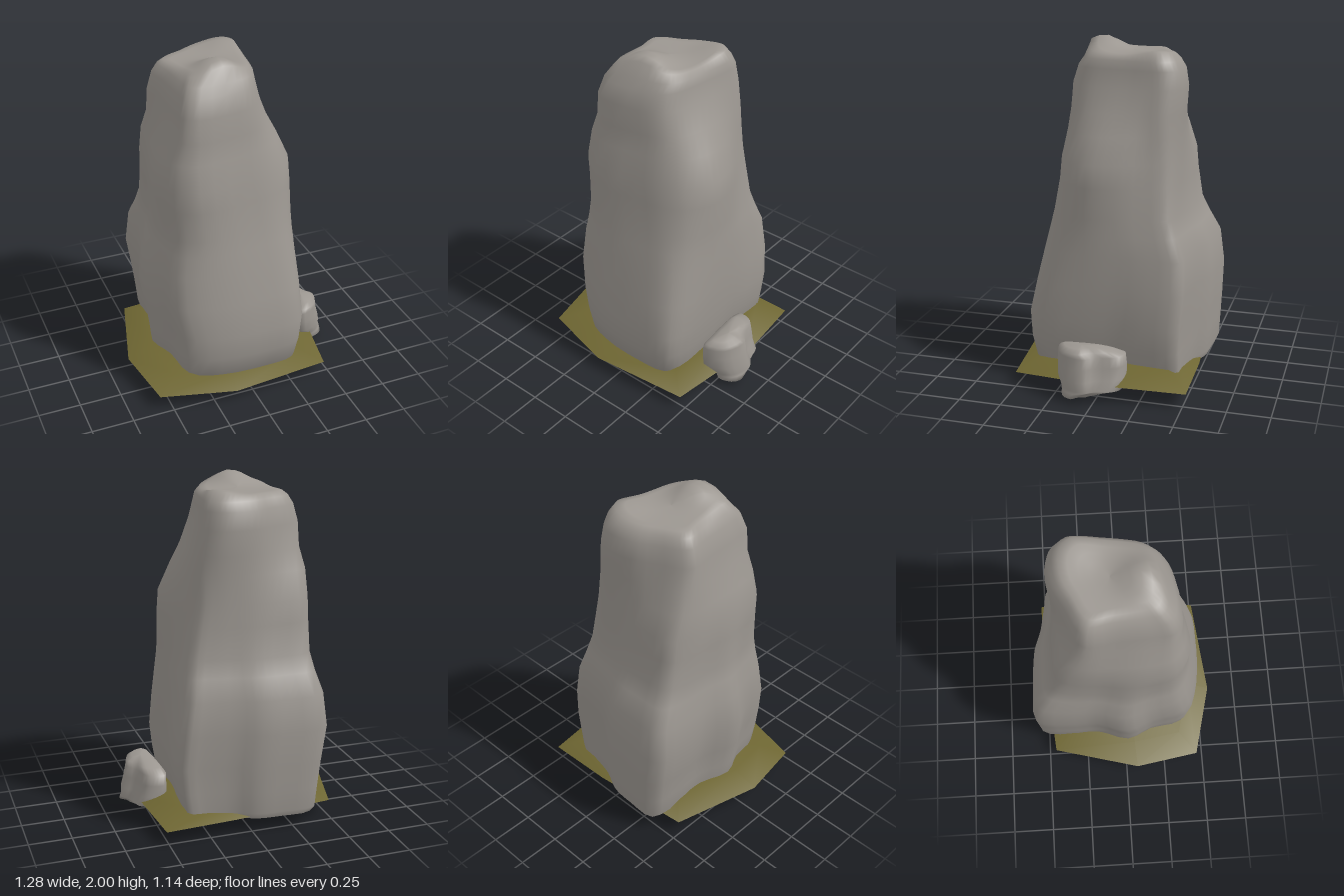
import * as THREE from 'three';

// Plan outlines as [x, z], counter-clockwise seen from above
const baseOutline = [
  [-0.4, 0.39], [-0.2, 0.47], [0.13, 0.49], [0.32, 0.465], [0.38, 0.37], [0.395, 0.15],
  [0.39, -0.08], [0.41, -0.25], [0.405, -0.445], [0.28, -0.465], [0.1, -0.5], [-0.03, -0.56],
  [-0.2, -0.575], [-0.42, -0.565], [-0.455, -0.38], [-0.455, -0.18], [-0.52, 0.02], [-0.45, 0.18],
];
const middleOutline = [
  [-0.395, 0.285], [-0.27, 0.37], [0, 0.335], [0.16, 0.305], [0.285, 0.24], [0.37, 0.1],
  [0.36, -0.06], [0.3, -0.22], [0.25, -0.345], [0.16, -0.385], [0.06, -0.4], [-0.06, -0.41],
  [-0.2, -0.405], [-0.355, -0.385], [-0.405, -0.28], [-0.42, -0.12], [-0.435, 0.02], [-0.43, 0.15],
];
const topOutline = [
  [-0.32, 0.19], [-0.25, 0.23], [-0.02, 0.21], [0.09, 0.17], [0.14, 0.1], [0.165, 0],
  [0.185, -0.13], [0.2, -0.23], [0.2, -0.32], [0.14, -0.39], [0.05, -0.41], [-0.08, -0.39],
  [-0.2, -0.33], [-0.33, -0.27], [-0.37, -0.22], [-0.35, -0.1], [-0.34, 0.03], [-0.33, 0.12],
];
const pebbleOutline = [
  [0.43, 0.245], [0.575, 0.2], [0.635, 0.06], [0.58, -0.01], [0.54, -0.12],
  [0.47, -0.155], [0.405, -0.145], [0.395, 0], [0.405, 0.12],
];

// Height, x range, z range and position along the list of outlines
const boulderLevels = [
  [0.085, -0.43, 0.35, -0.54, 0.41, 0],
  [0.12, -0.46, 0.375, -0.555, 0.46, 0],
  [0.25, -0.475, 0.395, -0.56, 0.485, 0],
  [0.4, -0.495, 0.41, -0.565, 0.49, 0.02],
  [0.6, -0.525, 0.395, -0.567, 0.455, 0.18],
  [0.8, -0.5, 0.39, -0.543, 0.42, 0.38],
  [0.92, -0.465, 0.385, -0.48, 0.4, 0.53],
  [1.02, -0.445, 0.385, -0.435, 0.385, 0.67],
  [1.2, -0.44, 0.388, -0.412, 0.372, 0.9],
  [1.33, -0.437, 0.378, -0.402, 0.372, 1],
  [1.48, -0.41, 0.315, -0.392, 0.338, 1.4],
  [1.6, -0.378, 0.26, -0.395, 0.318, 1.75],
  [1.74, -0.372, 0.225, -0.405, 0.31, 1.95],
  [1.84, -0.345, 0.208, -0.39, 0.275, 2],
  [1.89, -0.315, 0.2, -0.36, 0.235, 2],
];
const pebbleLevels = [
  [0.005, 0.51, 0.57, 0.05, 0.18, 0],
  [0.03, 0.495, 0.635, 0.02, 0.2, 0],
  [0.06, 0.485, 0.637, -0.08, 0.205, 0],
  [0.075, 0.47, 0.637, -0.15, 0.21, 0],
  [0.13, 0.4, 0.632, -0.158, 0.245, 0],
  [0.2, 0.4, 0.612, -0.158, 0.248, 0],
  [0.26, 0.4, 0.6, -0.15, 0.245, 0],
  [0.285, 0.42, 0.59, -0.08, 0.235, 0],
  [0.305, 0.455, 0.555, -0.02, 0.2, 0],
];

// One smooth ring: blended outline fitted to the level's ranges
function makeRing([y, x0, x1, z0, z1, blend], outlines, steps) {
  const from = outlines[Math.floor(blend)];
  const to = outlines[Math.ceil(blend)];
  const corners = from.map(([x, z], i) => new THREE.Vector3(
    THREE.MathUtils.lerp(x, to[i][0], blend % 1), 0,
    THREE.MathUtils.lerp(z, to[i][1], blend % 1)));
  const curve = new THREE.CatmullRomCurve3(corners, true);
  const points = Array.from({ length: steps }, (_, i) => curve.getPoint(i / steps));
  const { min, max } = new THREE.Box3().setFromPoints(points);
  return points.map((p) => new THREE.Vector3(
    THREE.MathUtils.mapLinear(p.x, min.x, max.x, x0, x1), y,
    THREE.MathUtils.mapLinear(p.z, min.z, max.z, z0, z1)));
}

// Shrinks a ring toward its middle, with heights from a rule
function shrinkRing(ring, scale, height) {
  const middle = new THREE.Box3().setFromPoints(ring).getCenter(new THREE.Vector3());
  return ring.map((p) => {
    const q = p.clone().sub(middle).multiplyScalar(scale).add(middle);
    q.y = height(q.x, q.z);
    return q;
  });
}

// Skin over rings ordered from bottom to top
function skin(rings) {
  const n = rings[0].length;
  const index = [];
  for (let r = 0; r < rings.length - 1; r++) {
    for (let i = 0; i < n; i++) {
      const a = r * n + i, b = r * n + (i + 1) % n;
      index.push(a, b, b + n, a, b + n, a + n);
    }
  }
  const geometry = new THREE.BufferGeometry().setFromPoints(rings.flat());
  geometry.setIndex(index);
  geometry.computeVertexNormals();
  return geometry;
}

export function createModel() {
  const group = new THREE.Group();
  const stone = new THREE.MeshStandardMaterial({ color: 0x9c9791 });
  stone.name = 'warm grey stone';
  const moss = new THREE.MeshStandardMaterial({ color: 0x6e6632, side: THREE.DoubleSide });
  moss.name = 'olive grass';

  const add = (name, geometry, material) => {
    const mesh = new THREE.Mesh(geometry, material);
    mesh.name = name;
    group.add(mesh);
  };

  // Standing boulder, open underneath, with an uneven crown
  const outlines = [baseOutline, middleOutline, topOutline];
  const rings = boulderLevels.map((level) => makeRing(level, outlines, 54));
  const rim = rings[rings.length - 1];
  const bump = (x, z, cx, cz, r) => Math.exp(-((x - cx) ** 2 + (z - cz) ** 2) / (r * r));
  const crown = (x, z) => 1.915 + 0.085 * bump(x, z, -0.08, 0.12, 0.13)
    + 0.03 * bump(x, z, 0.13, -0.26, 0.13);
  for (const s of [0.88, 0.72, 0.54, 0.36, 0.18, 0]) {
    rings.push(shrinkRing(rim, s, crown));
  }
  add('boulder', skin(rings), stone);

  // Small stone beside it, closed at both ends
  const small = pebbleLevels.map((level) => makeRing(level, [pebbleOutline], 27));
  small.unshift(shrinkRing(small[0], 0, () => 0));
  small.push(shrinkRing(small[small.length - 1], 0, () => 0.31));
  add('smallStone', skin(small), stone);

  // Thin patch of grass, raised in the middle and sloping down at the front
  const edge = [
    [-0.64, 0.105, 0.07], [-0.57, 0.085, 0.46], [-0.13, 0.08, 0.57], [0.47, 0.075, 0.51],
    [0.565, 0.1, -0.05], [0.515, 0.085, -0.52], [0.1, 0.095, -0.515], [-0.5, 0.1, -0.455],
  ].map((p) => new THREE.Vector3(...p));
  const mound = (x, z) => 0.16 - 0.035 * THREE.MathUtils.smoothstep(z, 0.2, 0.43);
  add('grassPatch', skin([
    edge,
    shrinkRing(edge, 0.75, mound),
    shrinkRing(edge, 0, mound),
  ]), moss);

  return group;
}
